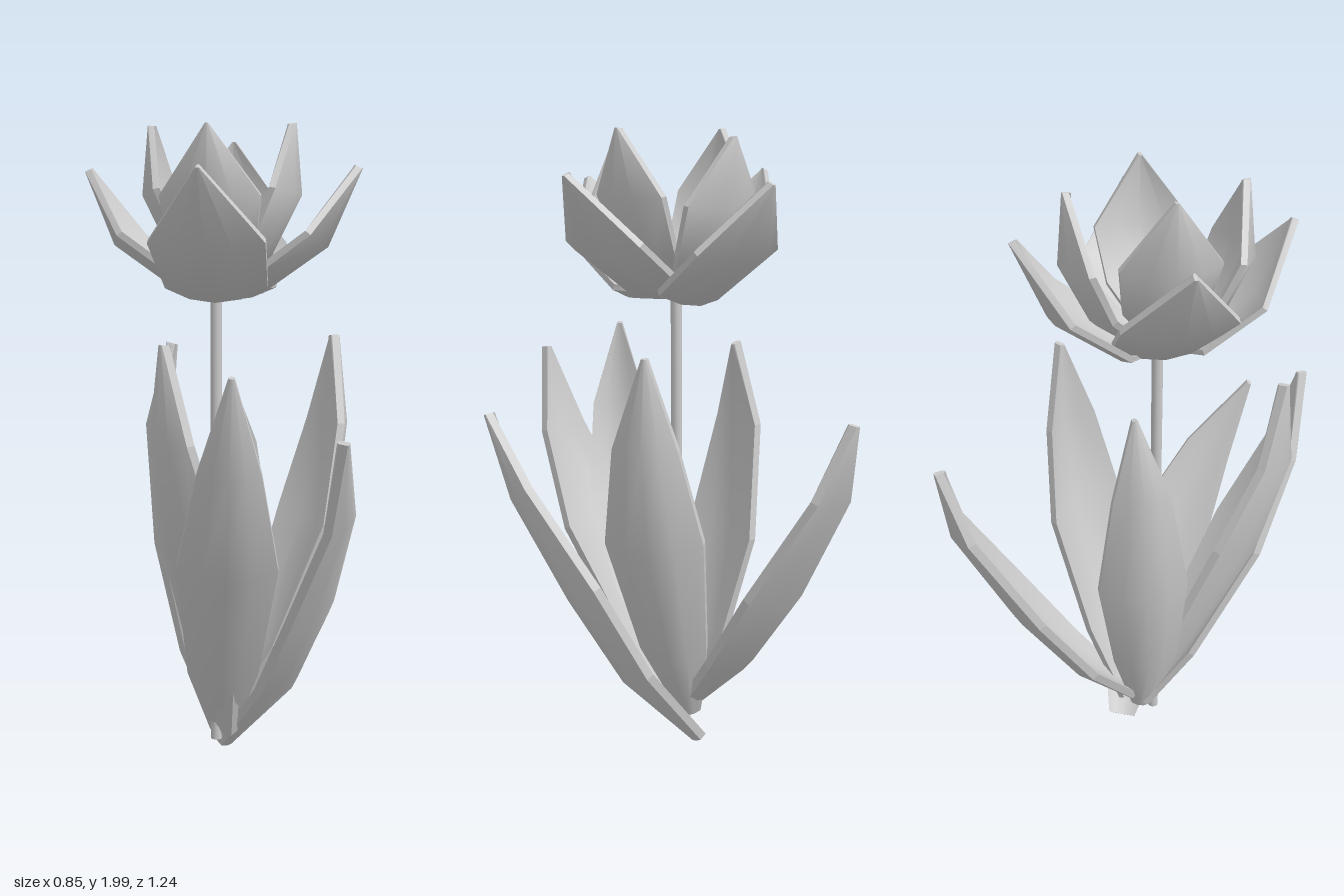
import * as THREE from 'three';

const material = new THREE.MeshStandardMaterial({ color: 0xcccccc, side: THREE.DoubleSide });
const ACROSS = [-1, -0.5, 0, 0.5, 1];

// Cupped blade. rows: [x, y, z, halfWidth] along the outer spine; yaw: the way it faces (degrees).
function blade(rows, yaw, cup, thickness) {
  const a = THREE.MathUtils.degToRad(yaw);
  const side = new THREE.Vector3(-Math.cos(a), 0, Math.sin(a));
  const spine = rows.map(r => new THREE.Vector3(r[0], r[1], r[2]));
  const widest = Math.max(...rows.map(r => r[3]));
  const outer = [], inner = [];
  rows.forEach((row, i) => {
    const tangent = spine[Math.min(i + 1, rows.length - 1)].clone()
      .sub(spine[Math.max(i - 1, 0)]).normalize();
    const normal = tangent.clone().cross(side).normalize();
    const across = normal.clone().cross(tangent);
    const depth = cup * row[3] / widest;
    for (const u of ACROSS) {
      const p = spine[i].clone().addScaledVector(across, u * row[3])
        .addScaledVector(normal, -depth * u * u);
      outer.push(p);
      inner.push(p.clone().addScaledVector(normal, -thickness * (1 - 0.3 * u * u)));
    }
  });

  const positions = [], indices = [];
  const n = ACROSS.length, m = rows.length;
  const add = pts => {
    const start = positions.length / 3;
    pts.forEach(p => positions.push(p.x, p.y, p.z));
    return start;
  };
  // outer and inner sheets, kept apart so the rim stays sharp
  [outer, inner].forEach((sheet, k) => {
    const s = add(sheet);
    for (let i = 0; i < m - 1; i++) for (let j = 0; j < n - 1; j++) {
      const p = s + i * n + j, q = p + 1, r = p + n, t = r + 1;
      if (k === 0) indices.push(p, r, q, q, r, t);
      else indices.push(p, q, r, q, t, r);
    }
  });
  // rim joining the two sheets
  const loop = [];
  for (let j = 0; j < n; j++) loop.push(j);
  for (let i = 1; i < m; i++) loop.push(i * n + n - 1);
  for (let j = n - 2; j >= 0; j--) loop.push((m - 1) * n + j);
  for (let i = m - 2; i > 0; i--) loop.push(i * n);
  loop.forEach((p, k) => {
    const q = loop[(k + 1) % loop.length];
    const s = add([outer[p], outer[q], inner[q], inner[p]]);
    indices.push(s, s + 1, s + 2, s, s + 2, s + 3);
  });

  const geometry = new THREE.BufferGeometry();
  geometry.setAttribute('position', new THREE.Float32BufferAttribute(positions, 3));
  geometry.setIndex(indices);
  geometry.computeVertexNormals();
  return geometry;
}

function addMesh(parent, name, geometry) {
  const mesh = new THREE.Mesh(geometry, material);
  mesh.name = name;
  parent.add(mesh);
  return mesh;
}

const LEAVES = [
  { name: 'frontLeaf', yaw: 5, cup: 0.06, rows: [[0, 0.08, 0.07, 0.04], [0.02, 0.3, 0.235, 0.11],
    [0.06, 0.68, 0.465, 0.148], [0.08, 1.0, 0.59, 0.09], [0.09, 1.28, 0.62, 0.008]] },
  { name: 'frontLeftLeaf', yaw: 73, cup: 0.055, rows: [[0.02, 0.01, -0.02, 0.045], [0.225, 0.25, 0.095, 0.13],
    [0.34, 0.53, 0.225, 0.143], [0.415, 0.85, 0.405, 0.08], [0.405, 1.1, 0.545, 0.008]] },
  { name: 'backLeftLeaf', yaw: 122, cup: 0.08, rows: [[0.03, 0.1, -0.01, 0.04], [0.17, 0.35, -0.065, 0.11],
    [0.325, 0.75, -0.13, 0.155], [0.37, 1.08, -0.15, 0.1], [0.355, 1.36, -0.15, 0.008]] },
  { name: 'backLeaf', yaw: 184, cup: 0.06, rows: [[0, 0.12, -0.01, 0.04], [-0.02, 0.31, -0.21, 0.125],
    [-0.025, 0.58, -0.4, 0.147], [-0.04, 0.93, -0.58, 0.09], [-0.05, 1.17, -0.615, 0.008]] },
  { name: 'backRightLeaf', yaw: -95, cup: 0.06, rows: [[-0.02, 0.07, 0.05, 0.04], [-0.14, 0.35, 0.03, 0.11],
    [-0.225, 0.7, 0, 0.145], [-0.255, 1.08, -0.02, 0.09], [-0.19, 1.34, -0.03, 0.008]] },
  { name: 'frontRightLeaf', yaw: -45, cup: 0.07, rows: [[-0.01, 0.08, 0.08, 0.04], [-0.06, 0.35, 0.21, 0.11],
    [-0.11, 0.75, 0.4, 0.145], [-0.14, 1.08, 0.485, 0.09], [-0.13, 1.36, 0.47, 0.008]] },
];

const OUTER_PETAL = [[0, 1.505, 0, 0.07], [0, 1.495, 0.125, 0.155],
  [0, 1.635, 0.325, 0.17], [0, 1.865, 0.425, 0.005]];
const INNER_PETAL = [[0, 1.52, 0.03, 0.055], [0, 1.61, 0.155, 0.125],
  [0, 1.79, 0.245, 0.148], [0, 2, 0.227, 0.005]];

export function createModel() {
  const model = new THREE.Group();
  model.name = 'flower';

  // leaves around the base
  const leaves = new THREE.Group();
  leaves.name = 'leaves';
  for (const { name, yaw, cup, rows } of LEAVES) addMesh(leaves, name, blade(rows, yaw, cup, 0.038));
  model.add(leaves);

  // stem
  const stem = addMesh(model, 'stem', new THREE.CylinderGeometry(0.018, 0.018, 1.42, 10));
  stem.position.set(-0.017, 0.78, 0.085);

  // two rings of four petals; the front and back ones sit a little lower
  const blossom = new THREE.Group();
  blossom.name = 'blossom';
  blossom.position.set(0, 0, 0.083);
  const outerPetal = blade(OUTER_PETAL, 0, 0.05, 0.028);
  const innerPetal = blade(INNER_PETAL, 0, 0.065, 0.028);
  for (let i = 0; i < 4; i++) {
    const drop = i % 2 === 0 ? -0.025 : 0;
    const outer = addMesh(blossom, 'outerPetal', outerPetal);
    const inner = addMesh(blossom, 'innerPetal', innerPetal);
    for (const petal of [outer, inner]) {
      petal.rotation.y = i * Math.PI / 2 - 0.04;
      petal.position.y = drop;
    }
    if (drop) inner.translateZ(0.045);
  }
  model.add(blossom);
  return model;
}
